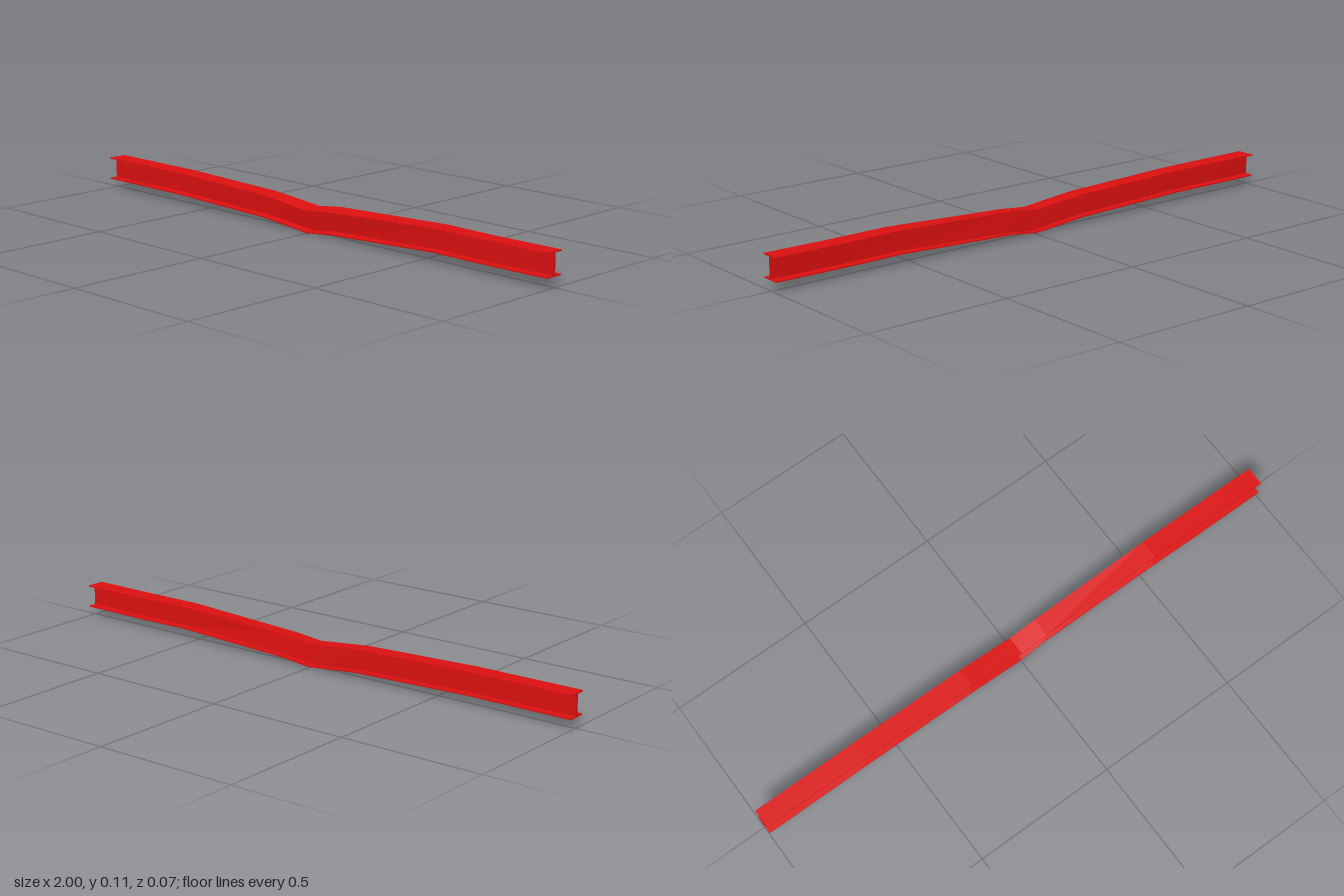
import * as THREE from 'three';

// Stations along the beam: [x, centre y, centre z, twist]
const STATIONS = [
  [-1, 0.075, 0.003, 0],
  [-0.62, 0.0745, 0.003, 0.02],
  [-0.2, 0.0625, 0.002, 0.04],
  [0, 0.0437, 0.002, 0.07],
  [0.1, 0.055, 0.001, 0.11],
  [0.55, 0.075, 0.002, 0.02],
  [0.75, 0.0735, 0.003, 0],
  [1, 0.075, 0.003, 0],
];

// I-shaped cross-section centred on the origin
function beamSection(halfWidth, halfHeight, flange, halfWeb) {
  const inner = halfHeight - flange;
  const right = [
    [halfWidth, -halfHeight], [halfWidth, -inner], [halfWeb, -inner],
    [halfWeb, inner], [halfWidth, inner], [halfWidth, halfHeight],
  ];
  const left = right.map(([x, y]) => [-x, -y]);
  return new THREE.Shape([...right, ...left].map(([x, y]) => new THREE.Vector2(x, y)));
}

export function createModel() {
  const group = new THREE.Group();
  group.name = 'bentBeam';

  // Extrude one step per span, then carry each section to its station
  const steps = STATIONS.length - 1;
  const geometry = new THREE.ExtrudeGeometry(beamSection(0.033, 0.039, 0.004, 0.004), {
    depth: steps, steps, bevelEnabled: false,
  });
  const pos = geometry.attributes.position;
  for (let i = 0; i < pos.count; i++) {
    const [x, cy, cz, twist] = STATIONS[Math.round(pos.getZ(i))];
    const dz = -pos.getX(i);
    const dy = pos.getY(i);
    const c = Math.cos(twist);
    const s = Math.sin(twist);
    pos.setXYZ(i, x, cy + dy * c - dz * s, cz + dz * c + dy * s);
  }
  geometry.computeVertexNormals();

  const material = new THREE.MeshStandardMaterial({ color: 0xdd1010, flatShading: true });
  const beam = new THREE.Mesh(geometry, material);
  beam.name = 'beam';
  group.add(beam);
  return group;
}
